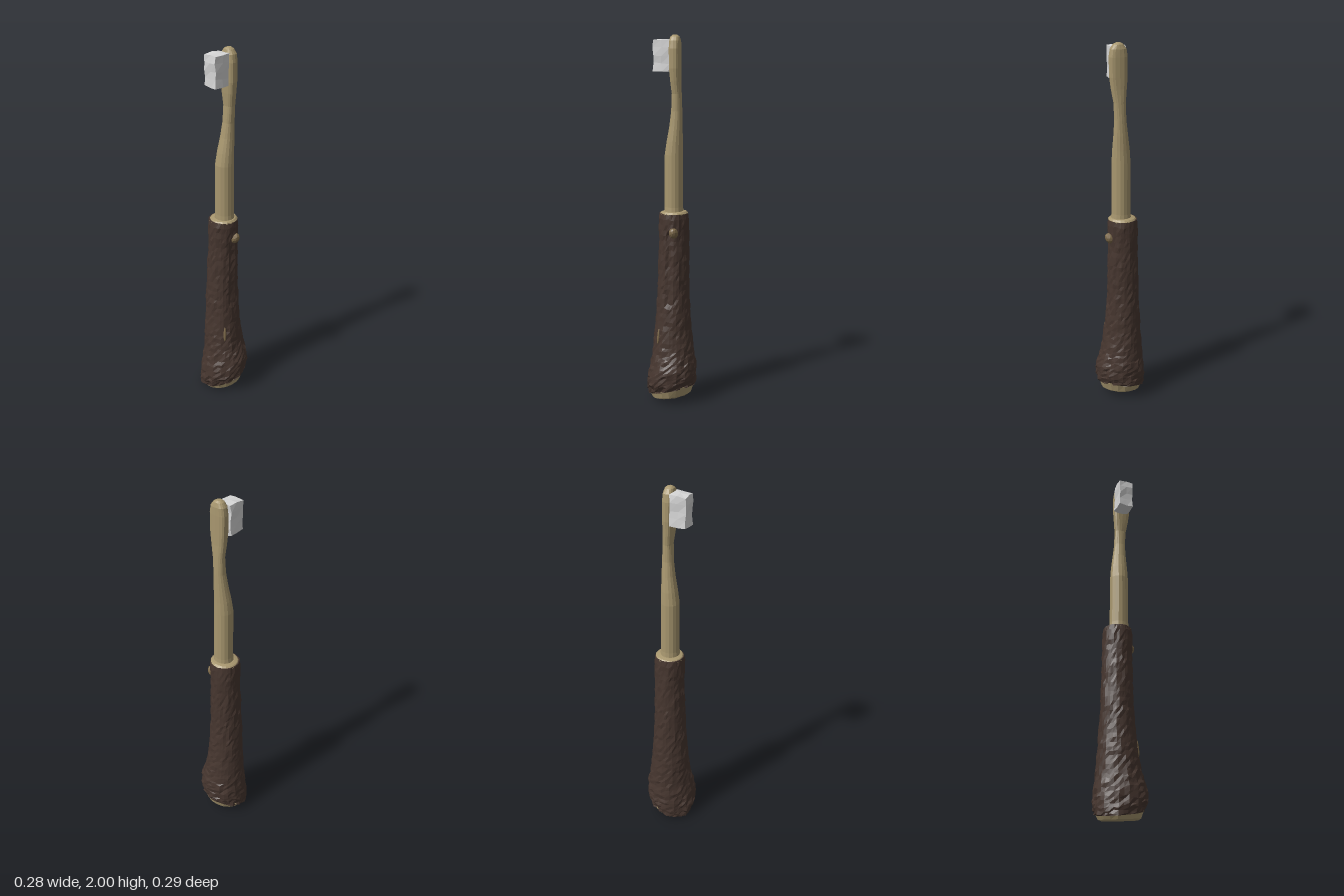
import * as THREE from 'three';

const mat = (name, color) => Object.assign(new THREE.MeshStandardMaterial({ color }), { name });

// repeatable noise in -1..1
const noise = (a, b) => {
  const s = Math.sin(a * 127.1 + b * 311.7) * 43758.5453;
  return (s - Math.floor(s)) * 2 - 1;
};

// separate faces so every facet is flat
function facet(geo) {
  const g = geo.index ? geo.toNonIndexed() : geo;
  g.computeVertexNormals();
  return g;
}

// closed skin over rings, listed bottom to top; point(i, angle, j) gives [x, y, z]
function loft(rings, sides, point) {
  const pos = [], idx = [];
  for (let i = 0; i < rings; i++) {
    for (let j = 0; j < sides; j++) pos.push(...point(i, (j / sides) * Math.PI * 2, j));
  }
  for (let i = 0; i < rings - 1; i++) {
    for (let j = 0; j < sides; j++) {
      const a = i * sides + j, b = i * sides + ((j + 1) % sides);
      idx.push(a, a + sides, b, b, a + sides, b + sides);
    }
  }
  for (const i of [0, rings - 1]) {
    const c = [0, 0, 0];
    for (let j = 0; j < sides; j++) for (let k = 0; k < 3; k++) c[k] += pos[(i * sides + j) * 3 + k] / sides;
    const m = pos.length / 3;
    pos.push(...c);
    for (let j = 0; j < sides; j++) {
      const a = i * sides + j, b = i * sides + ((j + 1) % sides);
      if (i === 0) idx.push(m, a, b); else idx.push(m, b, a);
    }
  }
  const g = new THREE.BufferGeometry();
  g.setAttribute('position', new THREE.Float32BufferAttribute(pos, 3));
  g.setIndex(idx);
  return facet(g);
}

// linear lookup in rows sorted by their first value
function sample(rows, y) {
  let i = 0;
  while (i < rows.length - 2 && rows[i + 1][0] < y) i++;
  const a = rows[i], b = rows[i + 1], t = THREE.MathUtils.clamp((y - a[0]) / (b[0] - a[0]), 0, 1);
  return a.map((v, k) => v + (b[k] - v) * t);
}

export function createModel() {
  const model = new THREE.Group();
  const bark = mat('dark bark', 0x46362f);
  const wood = mat('pale wood', 0xa8976f);
  const knotWood = mat('knot brown', 0x7a6748);
  const white = mat('bristle white', 0xd6d6d6);

  const add = (name, geo, material, parent = model) => {
    const m = new THREE.Mesh(geo, material);
    m.name = name;
    parent.add(m);
    return m;
  };

  // bark handle: y, centre x, centre z, radius x, radius z
  const handle = [
    [0.06, -0.002, 0.0, 0.125, 0.122], [0.1, 0.0, 0.0, 0.134, 0.137], [0.18, 0.007, 0.0, 0.13, 0.136],
    [0.27, 0.004, -0.007, 0.113, 0.117], [0.4, -0.004, -0.01, 0.1, 0.104], [0.6, -0.007, -0.012, 0.088, 0.088],
    [0.9, -0.002, -0.014, 0.08, 0.081], [1.05, 0.0, -0.012, 0.08, 0.081], [1.065, 0.0, -0.012, 0.076, 0.077],
  ];
  const ROWS = 44, SIDES = 34;
  add('barkHandle', loft(ROWS, SIDES, (i, a, j) => {
    const y = 0.06 + 1.005 * Math.pow(i / (ROWS - 1), 1.25);
    const [, cx, cz, rx, rz] = sample(handle, y);
    const low = THREE.MathUtils.clamp(1 - (y - 0.06) / 0.25, 0, 1);
    // long ridges plus small chips, stronger on the bulb
    let bump = (0.002 + 0.004 * low) * noise(j, Math.floor(i / 4)) + (0.0025 + 0.003 * low) * noise(j + 50, i);
    // groove running down from the knot
    if (y > 0.55 && y < 0.95) bump -= 0.012 * Math.exp(-Math.pow((a - 0.85) / 0.13, 2));
    const x = cx + Math.cos(a) * (rx + bump), z = cz + Math.sin(a) * (rz + bump);
    return [x, y + low * (0.32 * x - 0.06 * z) + (i > 0 && i < ROWS - 1 ? 0.006 * noise(i, j + 9) : 0), z];
  }), bark);

  // slanted cut end with a chamfered edge: y, radius, slope
  const cut = [[0.022, 0.09, 0.2], [0.03, 0.108, 0.22], [0.068, 0.122, 0.32]];
  add('cutEnd', loft(3, 18, (i, a, j) => {
    const [y, r, s] = cut[i];
    const x = Math.cos(a) * (r + 0.004 * noise(i, j)), z = Math.sin(a) * r;
    return [x, Math.max(0, y + s * x - 0.06 * z), z];
  }), wood);

  // wooden rim where the neck leaves the bark
  const rim = [[1.04, 0.072], [1.062, 0.077], [1.072, 0.068], [1.076, 0.05]];
  add('topRim', loft(4, 20, (i, a) => {
    const [y, r] = rim[i];
    return [Math.cos(a) * r, y + 0.05 * Math.cos(a) * r, Math.sin(a) * r - 0.012];
  }), wood);

  // knot and bare patch on the bark
  const knot = add('knot', facet(new THREE.IcosahedronGeometry(1, 1)), knotWood);
  knot.scale.set(0.024, 0.032, 0.026);
  knot.position.set(0.066, 0.965, 0.03);
  knot.rotation.set(0.3, -0.4, -0.35);
  const patch = add('barePatch', facet(new THREE.IcosahedronGeometry(1, 1)), knotWood);
  patch.scale.set(0.008, 0.045, 0.006);
  patch.position.set(0.013, 0.385, 0.095);
  patch.rotation.x = -0.1;

  // brush end, turned so the bristles point to the front corner
  const brush = new THREE.Group();
  brush.name = 'brush';
  brush.rotation.y = -Math.PI / 4;
  model.add(brush);

  // neck and head: y, centre x, centre z, half width, half depth, corner roundness
  const neck = [
    [1.05, 0, -0.01, 0.056, 0.054, 1], [1.1, 0, -0.01, 0.051, 0.05, 1], [1.38, 0, -0.01, 0.05, 0.049, 1],
    [1.45, 0.002, -0.015, 0.046, 0.043, 1], [1.53, 0.006, -0.023, 0.038, 0.035, 0.95],
    [1.61, 0.01, -0.028, 0.031, 0.029, 0.9], [1.7, 0.014, -0.029, 0.032, 0.025, 0.85],
    [1.77, 0.017, -0.024, 0.041, 0.027, 0.75], [1.83, 0.018, -0.022, 0.047, 0.029, 0.7],
    [1.93, 0.019, -0.021, 0.048, 0.03, 0.7], [1.97, 0.019, -0.021, 0.042, 0.029, 0.75],
    [1.992, 0.019, -0.021, 0.027, 0.023, 0.85], [2.0, 0.019, -0.021, 0.013, 0.013, 1],
  ];
  const soft = (v, p) => Math.sign(v) * Math.pow(Math.abs(v), p);
  add('neckAndHead', loft(neck.length, 16, (i, a) => {
    const [y, cx, cz, w, d, p] = neck[i];
    return [cx + w * soft(Math.cos(a), p), y, cz + d * soft(Math.sin(a), p)];
  }), wood, brush);

  // roughly cut bristle block
  const block = new THREE.BoxGeometry(0.078, 0.165, 0.09, 2, 4, 2);
  const p = block.attributes.position;
  for (let i = 0; i < p.count; i++) {
    const [x, y, z] = [p.getX(i), p.getY(i), p.getZ(i)].map((v) => Math.round(v * 1000) / 1000);
    const k = x * 31 + y * 57 + z * 83;
    p.setXYZ(i, x + 0.004 * noise(k, 1), y * (1 - 0.8 * Math.max(0, z)) + 0.005 * noise(k, 2), z + 0.005 * noise(k, 3));
  }
  add('bristles', facet(block), white, brush).position.set(0.006, 1.896, 0.047);

  return model;
}
